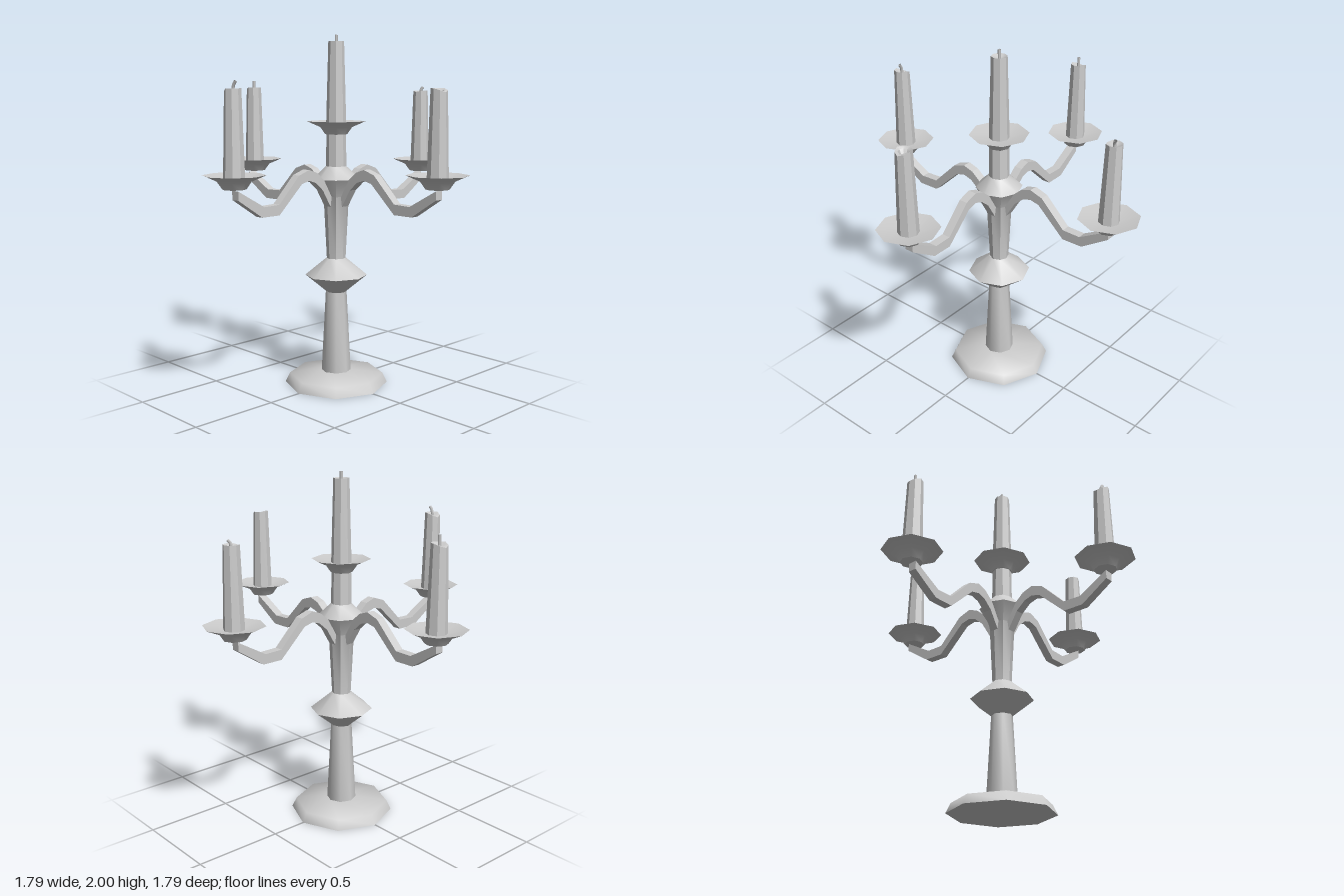
import * as THREE from 'three';
import { toCreasedNormals } from 'three/addons/utils/BufferGeometryUtils.js';

const material = new THREE.MeshStandardMaterial({ color: 0xcccccc, side: THREE.DoubleSide });

function addMesh(parent, name, geometry) {
  const mesh = new THREE.Mesh(geometry, material);
  mesh.name = name;
  parent.add(mesh);
  return mesh;
}

// Eight-sided turned part; profile runs from the bottom upward as [radius, height]
function turned(profile, crease, rule) {
  const geometry = new THREE.LatheGeometry(profile.map(([r, y]) => new THREE.Vector2(r, y)), 8);
  const p = geometry.attributes.position;
  if (rule) for (let i = 0; i < p.count; i++) p.setY(i, rule(p.getX(i), p.getY(i), p.getZ(i)));
  return toCreasedNormals(geometry, crease);
}

// Drip saucer with a small cup below, base at y = 0
function saucerGeometry() {
  return turned([[0, 0], [0.062, 0], [0.09, 0.04], [0.166, 0.073], [0.06, 0.052], [0, 0.052]], 0.9);
}

// Tapered candle with a melted hollow; its rim is cut down on one side
function candle(parent, height, { cutX = 0, cutZ = 0, hollow = 0.02, wick = 0.04, bend = [0, 0] }) {
  const rim = (x, y, z) => y < height * 0.9 ? y
    : y - Math.max(0, x * cutX + z * cutZ - 0.015);
  const profile = [[0, 0], [0.057, 0], [0.044, height], [0.028, height - 0.008], [0, height - hollow]];
  addMesh(parent, 'candle', turned(profile, 0.7, rim));
  if (!wick) return;
  const top = height + wick;
  const path = new THREE.CatmullRomCurve3([
    new THREE.Vector3(0, height - hollow - 0.005, 0),
    new THREE.Vector3(bend[0] * 0.2, height + wick * 0.4, bend[1] * 0.2),
    new THREE.Vector3(bend[0], top, bend[1]),
  ]);
  addMesh(parent, 'wick', new THREE.TubeGeometry(path, 3, 0.009, 5));
}

// S-curved arm of square section, reaching along +x
function armGeometry() {
  const upper = [[0.06, 1.11], [0.11, 1.19], [0.175, 1.245], [0.235, 1.265], [0.31, 1.24],
    [0.455, 1.095], [0.56, 1.092], [0.735, 1.19]];
  const lower = [[0.735, 1.142], [0.575, 1.038], [0.455, 1.038], [0.29, 1.192],
    [0.235, 1.205], [0.185, 1.19], [0.13, 1.143], [0.07, 1.045]];
  const shape = new THREE.Shape([...upper, ...lower].map(([x, y]) => new THREE.Vector2(x, y)));
  const geometry = new THREE.ExtrudeGeometry(shape, { depth: 0.05, bevelEnabled: false });
  // slight sideways drift toward the tip
  const p = geometry.attributes.position;
  for (let i = 0; i < p.count; i++) p.setZ(i, p.getZ(i) - 0.025 - 0.022 * p.getX(i));
  return geometry;
}

export function createModel() {
  const model = new THREE.Group();
  model.name = 'candelabra';

  // Foot and central stem
  addMesh(model, 'foot', turned([[0, 0], [0.297, 0], [0.27, 0.055], [0.085, 0.076]], 1.1));
  addMesh(model, 'lowerStem', turned([[0.085, 0.07], [0.06, 0.545]], 0.9));
  addMesh(model, 'knop', turned([[0.058, 0.545], [0.178, 0.642], [0.056, 0.742]], 0.7));
  addMesh(model, 'upperStem', turned(
    [[0.054, 0.74], [0.072, 1.1], [0.132, 1.2], [0.058, 1.27], [0.055, 1.46]], 0.7));

  // Central candle
  const centre = new THREE.Group();
  centre.name = 'centreLight';
  centre.position.y = 1.45;
  model.add(centre);
  addMesh(centre, 'saucer', saucerGeometry());
  const middle = new THREE.Group();
  middle.name = 'centreCandle';
  middle.position.y = 0.045;
  centre.add(middle);
  candle(middle, 0.47, { wick: 0.035 });

  // Four arms, each with saucer and candle, in the order +x, -z, -x, +z
  const candles = [
    { height: 0.47, cutX: 0.8, hollow: 0.07, wick: 0 },
    { height: 0.45, cutZ: 0.5, bend: [0.012, -0.012], wick: 0.022 },
    { height: 0.47, cutX: -0.8, wick: 0.04 },
    { height: 0.47, cutX: -0.9, bend: [0.018, -0.004], wick: 0.036 },
  ];
  candles.forEach((options, i) => {
    const angle = i * Math.PI / 2;
    addMesh(model, 'arm', armGeometry()).rotation.y = angle;
    const light = new THREE.Group();
    light.name = 'armLight';
    light.position.set(0.728 * Math.cos(angle), 1.197, -0.728 * Math.sin(angle));
    if (i === 0) light.position.z = -0.012;
    model.add(light);
    addMesh(light, 'saucer', saucerGeometry());
    const holder = new THREE.Group();
    holder.name = 'armCandle';
    holder.position.y = 0.042;
    light.add(holder);
    candle(holder, options.height, options);
  });
  return model;
}
